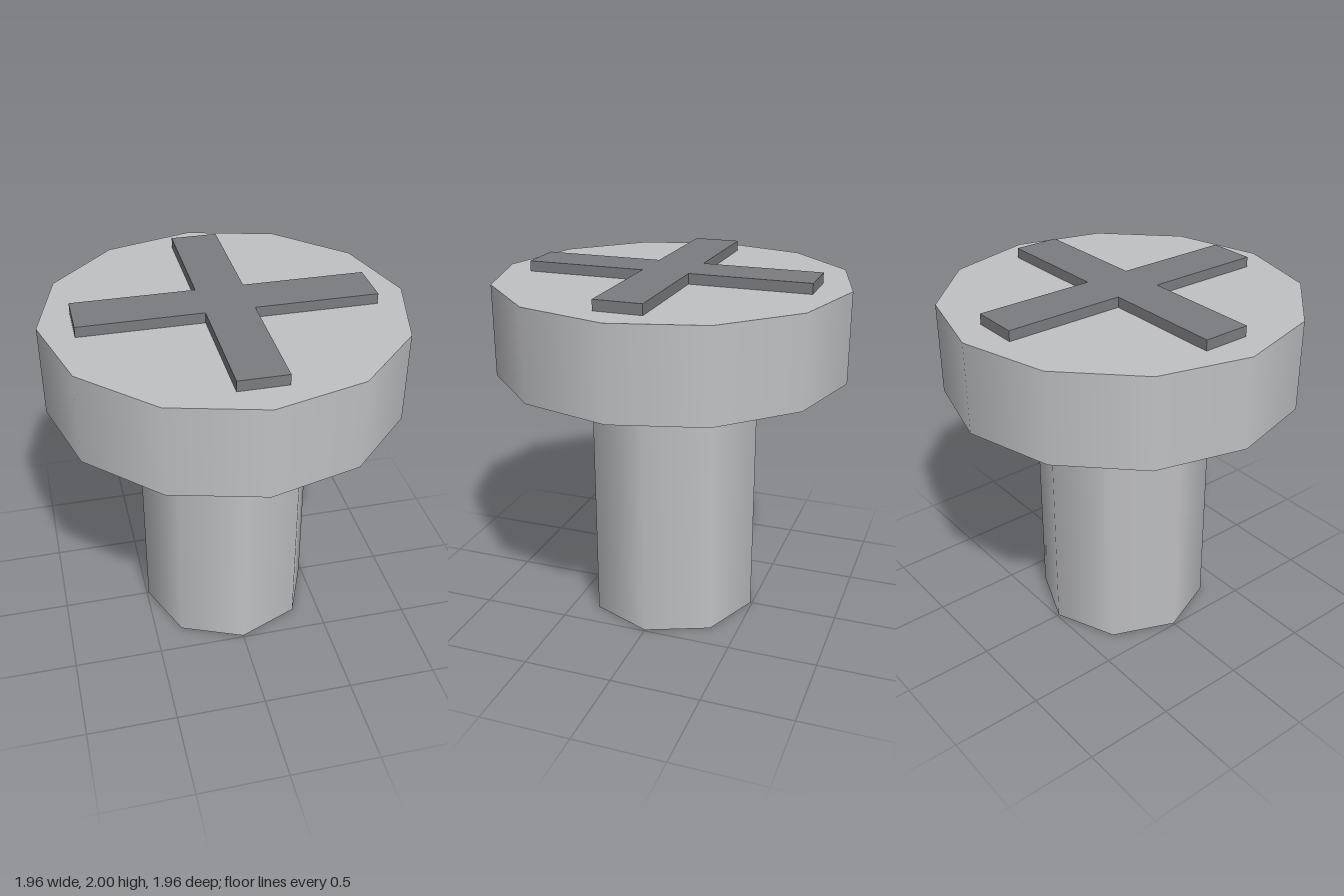
import * as THREE from 'three';

export function createModel() {
  const model = new THREE.Group();
  model.name = 'screw';

  const steel = new THREE.MeshStandardMaterial({ color: 0xc0c1c3 });
  steel.name = 'light steel';
  const darkSteel = new THREE.MeshStandardMaterial({ color: 0x7b7c7f });
  darkSteel.name = 'dark steel';

  const add = (name, geometry, material, y) => {
    const mesh = new THREE.Mesh(geometry, material);
    mesh.name = name;
    mesh.position.y = y;
    model.add(mesh);
  };

  const headBottom = 1.443, headTop = 1.943;
  const headHeight = headTop - headBottom;

  // Eight-sided shaft and twelve-sided head, both with smooth sides
  add('shaft', new THREE.CylinderGeometry(0.49, 0.49, headBottom, 8), steel, headBottom / 2);
  add('head', new THREE.CylinderGeometry(0.978, 0.978, headHeight, 12), steel, headBottom + headHeight / 2);

  // Raised cross on top of the head: one arm outline repeated by quarter turns
  const reach = 0.795, half = 0.13;
  const arm = [[half, half], [half, reach], [-half, reach]];
  const outline = [];
  for (let i = 0; i < 4; i++) {
    for (const [x, y] of arm) {
      outline.push(new THREE.Vector2(x, y).rotateAround(new THREE.Vector2(), i * Math.PI / 2));
    }
  }
  const cross = new THREE.ExtrudeGeometry(new THREE.Shape(outline), {
    depth: 2 - headTop,
    bevelEnabled: false,
  });
  cross.rotateX(-Math.PI / 2);
  add('driveCross', cross, darkSteel, headTop);

  return model;
}
